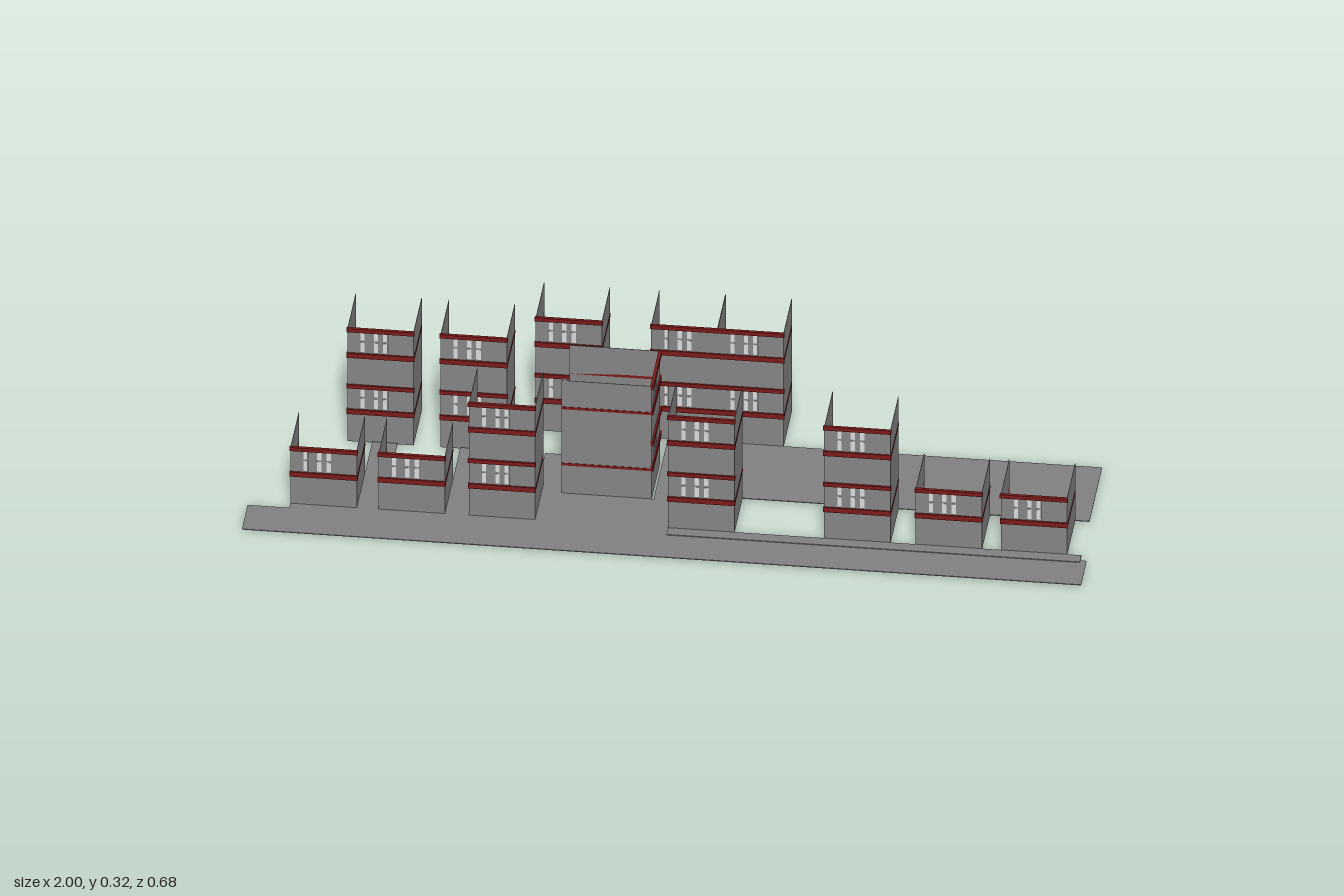
import * as THREE from 'three';

const mat = (name, color) => {
  const m = new THREE.MeshStandardMaterial({ color, side: THREE.DoubleSide });
  m.name = name;
  return m;
};

export function createModel() {
  const model = new THREE.Group();
  const wallGrey = mat('wall grey', 0x848484);
  const groundGrey = mat('ground grey', 0x808080);
  const bandRed = mat('band red', 0x7a1a1a);
  const paneLight = mat('pane light', 0xd8d8d8);

  // box given by its lower and upper limits
  const box = (parent, name, material, x0, x1, y0, y1, z0, z1) => {
    const mesh = new THREE.Mesh(new THREE.BoxGeometry(x1 - x0, y1 - y0, z1 - z0), material);
    mesh.position.set((x0 + x1) / 2, (y0 + y1) / 2, (z0 + z1) / 2);
    mesh.name = name;
    parent.add(mesh);
  };

  const T = 0.001; // wall thickness
  const storey = 0.157;

  // facade with two side walls, open at the back and top; facade lies at local z = 0
  const unit = (name, width, depth, storeys) => {
    const g = new THREE.Group();
    g.name = name;
    const h = storeys === 2 ? 0.315 : 0.159;
    box(g, 'frontWall', wallGrey, 0, width, 0, h, -T, 0);
    for (const x of [0, width - T]) box(g, 'sideWall', wallGrey, x, x + T, 0, h, -depth, 0);
    for (let s = 0; s < storeys; s++) {
      const y = s * storey;
      // sill and head bands across the facade
      box(g, 'sillBand', bandRed, -0.002, width + 0.002, y + 0.078, y + 0.091, -0.003, 0.004);
      box(g, 'headBand', bandRed, -0.002, width + 0.002, y + 0.15, y + 0.16, -0.003, 0.005);
      // thin bands along the sides
      for (const x of [-0.001, width - 0.001])
        box(g, 'sideBand', bandRed, x, x + 0.002, y + 0.078, y + 0.085, -depth, 0);
      // window panes in two rows
      for (const [a, b] of [[0.2, 0.26], [0.4, 0.465], [0.54, 0.61]])
        for (const [p, q] of [[0.095, 0.122], [0.127, 0.149]])
          box(g, 'windowPane', paneLight, a * width, b * width, y + p, y + q, -0.002, 0.001);
    }
    model.add(g);
    return g;
  };

  // front row, back row and set-back units: x, facade z, base y, storeys
  const rows = [
    ['frontUnit', 0.21, 0.005, [[-0.9, 1], [-0.69, 1], [-0.475, 2], [0, 2], [0.372, 2], [0.59, 1], [0.793, 1]]],
    ['middleUnit', -0.09, 0, [[-0.802, 2], [-0.58, 2]]],
    ['rearUnit', -0.185, 0.005, [[-0.365, 2], [-0.09, 2], [0.068, 2]]],
  ];
  for (const [name, z, y, list] of rows)
    for (const [x, storeys] of list) unit(name, 0.158, 0.156, storeys).position.set(x, y, z);

  // central wing turned to face the courtyard
  const wing = unit('centralWing', 0.158, 0.215, 2);
  wing.rotation.y = Math.PI / 2;
  wing.position.set(-0.055, 0.005, 0.084);

  // street, terrace, paths and courtyard
  const ground = new THREE.Group();
  ground.name = 'ground';
  model.add(ground);
  const slab = (name, x0, x1, z0, z1, y0 = 0.004, y1 = 0.006) =>
    box(ground, name, groundGrey, x0, x1, y0, y1, z0, z1);
  slab('street', -1, 1, 0.23, 0.337);
  slab('leftTerrace', -0.9, 0, 0.21, 0.23);
  slab('rightTerrace', 0, 0.985, 0.21, 0.24, 0.003, 0.008);
  for (const [x0, x1] of [[-0.742, -0.682], [-0.532, -0.475], [-0.33, -0.268]])
    slab('path', x0, x1, -0.085, 0.21);
  slab('entranceCourt', -0.268, -0.05, 0.085, 0.21);
  slab('courtLink', -0.05, 0, 0.055, 0.21);
  slab('rearCourtyard', -0.05, 0.985, -0.185, 0.055);

  return model;
}
